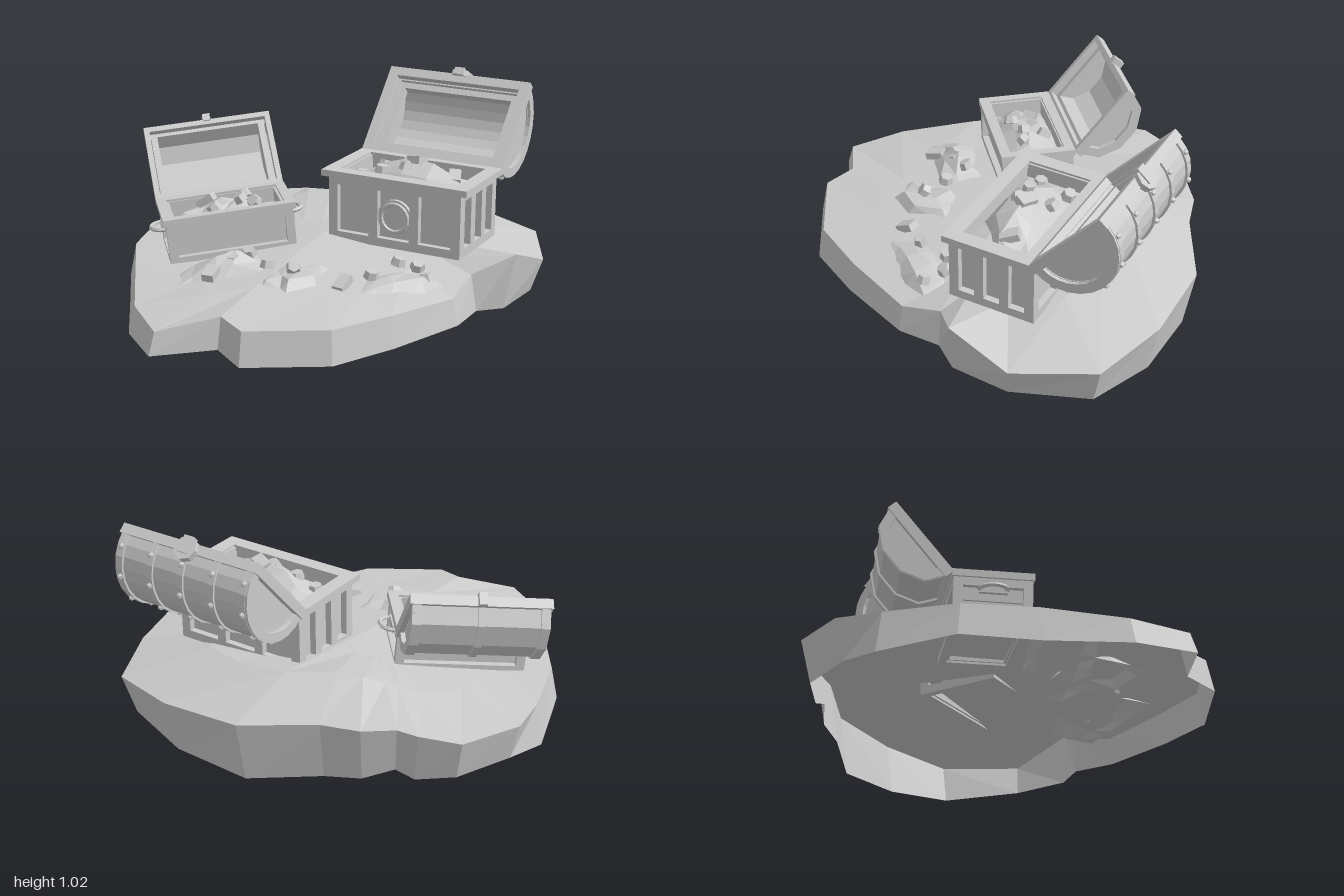
import * as THREE from 'three';

const grey = new THREE.MeshStandardMaterial({ color: 0xcccccc, flatShading: true });
const greyDouble = new THREE.MeshStandardMaterial({ color: 0xcccccc, flatShading: true, side: THREE.DoubleSide });

let seed = 7;
const rand = () => (seed = (seed * 16807) % 2147483647) / 2147483647;

function add(parent, name, geo, x = 0, y = 0, z = 0, mat = grey) {
  const m = new THREE.Mesh(geo, mat);
  m.name = name;
  m.position.set(x, y, z);
  parent.add(m);
  return m;
}
const box = (p, name, w, h, d, x, y, z) => add(p, name, new THREE.BoxGeometry(w, h, d), x, y, z);

function group(parent, name, x = 0, y = 0, z = 0) {
  const g = new THREE.Group();
  g.name = name;
  g.position.set(x, y, z);
  parent.add(g);
  return g;
}

// Rectangular frame lying flat, bottom at y
function frame(p, name, w, d, h, t, y, z = 0) {
  for (const s of [-1, 1]) {
    box(p, name, w, h, t, 0, y + h / 2, z + s * (d - t) / 2);
    box(p, name, t, h, d - 2 * t, s * (w - t) / 2, y + h / 2, z);
  }
}

// Ground rim: x, z, top height, bottom height
const RIM = [
  [0.03, -1, 0.29, 0], [0.42, -1, 0.27, 0.02], [0.76, -0.89, 0.24, 0.05], [0.93, -0.55, 0.23, 0.08],
  [0.91, -0.26, 0.34, 0.08], [0.78, -0.13, 0.26, 0.09], [0.78, 0.07, 0.21, 0.09], [0.64, 0.42, 0.22, 0.08],
  [0.49, 0.69, 0.22, 0.07], [0.16, 0.89, 0.22, 0.07], [0.02, 0.83, 0.24, 0.1], [-0.22, 0.99, 0.18, 0.08],
  [-0.44, 0.82, 0.2, 0.08], [-0.65, 0.51, 0.24, 0.08], [-0.84, 0.23, 0.25, 0.1], [-0.94, -0.1, 0.25, 0.06],
  [-0.94, -0.31, 0.26, 0.08], [-0.82, -0.58, 0.27, 0.08], [-0.66, -0.67, 0.3, 0.06], [-0.57, -0.69, 0.31, 0.09],
  [-0.45, -0.78, 0.31, 0.05], [-0.28, -0.83, 0.31, 0.03],
];
const ground = (x, z) => 0.32 - 0.09 * z - 0.085 * Math.abs(x)
  + 0.06 * Math.exp(-((x + 0.28) ** 2 + (z + 0.62) ** 2) / 0.05);

// Open shell: wall under the rim, then rings rising to the centre
function buildIsland(root) {
  const n = RIM.length, pos = [], idx = [];
  for (const [x, z, , b] of RIM) {
    const f = z < -0.2 ? 0.95 : 1;
    pos.push(x * f, b, z * f);
  }
  for (const [x, z, t] of RIM) {
    const f = z < -0.2 ? 1 : 0.965;
    pos.push(x * f, t, z * f);
  }
  for (const k of [0.64, 0.3]) {
    for (const [x, z] of RIM) {
      const px = x * k, pz = z * k - 0.05 * (1 - k);
      pos.push(px, ground(px, pz), pz);
    }
  }
  for (let r = 0; r < 3; r++) {
    for (let i = 0; i < n; i++) {
      const j = (i + 1) % n, a = r * n + i, b = r * n + j;
      idx.push(a, a + n, b, b, a + n, b + n);
    }
  }
  pos.push(0, ground(0, -0.05), -0.05);
  for (let i = 0; i < n; i++) idx.push(3 * n + i, 4 * n, 3 * n + (i + 1) % n);
  const geo = new THREE.BufferGeometry();
  geo.setAttribute('position', new THREE.Float32BufferAttribute(pos, 3));
  geo.setIndex(idx);
  geo.computeVertexNormals();
  add(root, 'island', geo, 0, 0, 0, greyDouble);
}

// Jagged mound from a jittered grid; edges sink by `sink`
function heap(parent, name, w, d, h, sink, x, y, z, turn = 0) {
  const geo = new THREE.PlaneGeometry(w, d, 6, 4).rotateX(-Math.PI / 2);
  const p = geo.attributes.position;
  for (let i = 0; i < p.count; i++) {
    const u = p.getX(i) / (w / 2), v = p.getZ(i) / (d / 2);
    const r = Math.min(1, Math.hypot(u, v));
    const edge = Math.max(Math.abs(u), Math.abs(v)) > 0.99;
    p.setY(i, edge ? -sink : (h + sink) * (1 - r * r) * (0.65 + 0.5 * rand()) - sink);
    if (!edge) {
      p.setX(i, p.getX(i) + (rand() - 0.5) * w * 0.1);
      p.setZ(i, p.getZ(i) + (rand() - 0.5) * d * 0.14);
    }
  }
  geo.computeVertexNormals();
  add(parent, name, geo, x, y, z, greyDouble).rotation.y = turn;
}

// Scattered coins and bars
function treasure(parent, list) {
  list.forEach(([x, y, z, bar]) => {
    const geo = bar ? new THREE.BoxGeometry(0.085, 0.035, 0.055)
      : new THREE.CylinderGeometry(0.028, 0.036, 0.035, 6);
    const m = add(parent, bar ? 'goldBar' : 'gem', geo, x, y, z);
    m.rotation.set((rand() - 0.5) * 1.2, rand() * 3, (rand() - 0.5) * 1.2);
  });
}

// Half-barrel slice, centred along x, with depth along z and arch along y
function arch(w, rz, ry, t, segs) {
  const s = new THREE.Shape();
  const pts = (a, b) => Array.from({ length: segs + 1 }, (_, i) => {
    const q = (i / segs) * Math.PI;
    return new THREE.Vector2(Math.cos(q) * a, Math.sin(q) * b);
  });
  s.setFromPoints(t ? [...pts(rz, ry), ...pts(rz - t, ry - t).reverse()] : pts(rz, ry));
  return new THREE.ExtrudeGeometry(s, { depth: w, bevelEnabled: false })
    .translate(0, 0, -w / 2).rotateY(-Math.PI / 2);
}

function buildChest(root, name, o) {
  const { w, d, h, post } = o, chest = group(root, name, ...o.at);
  const body = group(chest, 'body');
  box(body, 'floor', w - 0.08, 0.02, d - 0.08, 0, h * 0.25, 0);

  // Four framed walls with recessed panels
  for (let k = 0; k < 4; k++) {
    const side = k % 2, L = side ? d : w, off = (side ? w : d) / 2, n = o.panels[side];
    const f = group(body, 'wall');
    f.rotation.y = k * Math.PI / 2;
    box(f, 'panel', L - 0.06, h - 0.02, 0.015, 0, h / 2, off - 0.0375);
    box(f, 'bottomRail', L - 0.002, 0.04, 0.035, 0, 0.02, off - 0.0175);
    box(f, 'topRail', L - 0.002, 0.04, 0.035, 0, h - 0.045, off - 0.0175);
    for (let i = 0; i <= n; i++) {
      const x = -L / 2 + post / 2 + (i / n) * (L - post);
      box(f, 'post', post, h - 0.01, 0.036, x, h / 2 - 0.005, off - 0.018);
    }
    if (n === 1) box(f, 'plank', L - 0.08, h * 0.25, 0.02, 0, h * 0.57, off - 0.028);
    if (o.handles && side) {
      box(f, 'handlePlate', 0.12, 0.035, 0.02, 0, h * 0.65, off);
      add(f, 'handle', new THREE.TorusGeometry(0.06, 0.01, 5, 8, Math.PI).rotateX(Math.PI / 2), 0, h * 0.65, off);
    }
    if (o.emblem && k === 0) {
      add(f, 'disc', new THREE.CylinderGeometry(0.085, 0.085, 0.02, 20).rotateX(Math.PI / 2), 0, h * 0.43, off - 0.022);
      add(f, 'ring', new THREE.TorusGeometry(0.066, 0.01, 6, 20), 0, h * 0.43, off - 0.012);
    }
  }
  frame(body, 'rim', w + o.lip, d + o.lip * 0.5, 0.03, o.rimT, h - 0.03);

  // Lid, hinged along the back edge
  const W = w + o.lip, D = o.lidD, c = D / 2, y0 = 0.035;
  const lid = group(chest, 'lid', 0, h - 0.01, -d / 2 + o.hinge);
  lid.rotation.x = o.open;
  frame(lid, 'lidLip', W, D, 0.045, o.lipT, 0, c);
  if (o.emblem) frame(lid, 'innerLedge', W - 0.07, D - 0.07, 0.04, 0.05, 0.05, c);
  const rz = c - 0.012, ry = o.lidH;
  add(lid, 'barrel', arch(W - 0.05, rz, ry, o.shell, o.segs), 0, y0, c);
  for (const s of [-1, 1]) {
    add(lid, 'lidEnd', arch(0.03, rz - 0.015, ry - 0.015, 0, o.segs), s * (W / 2 - 0.045), y0, c);
    add(lid, 'endTrim', arch(0.03, rz + 0.008, ry + 0.008, 0.045, o.segs), s * (W / 2 - 0.025), y0, c);
  }
  for (let i = 0; i < o.bands; i++) {
    const x = (i / (o.bands - 1) - 0.5) * (W - 0.07);
    add(lid, 'band', arch(0.03, rz + 0.01, ry + 0.01, 0.025, o.segs), x, y0, c);
    for (let j = 0; j < o.studs; j++) {
      const q = ((j + 0.5) / o.studs) * Math.PI;
      add(lid, 'stud', new THREE.IcosahedronGeometry(0.015, 0), x,
        y0 + Math.sin(q) * (ry + 0.01), c + Math.cos(q) * (rz + 0.01));
    }
  }
  // Latch on the front of the lid
  const s = o.latch;
  if (o.emblem) add(lid, 'latchPlate', new THREE.CylinderGeometry(s, s, 0.03, 8).rotateX(Math.PI / 2), 0, 0.035, D + 0.005);
  box(lid, 'latch', s * 0.9, s * 1.4, 0.035, 0, 0.02, D + 0.01);
  return chest;
}

export function createModel() {
  const root = new THREE.Group();
  root.name = 'treasureIsland';
  buildIsland(root);

  const large = buildChest(root, 'largeChest', {
    at: [0.358, 0.312, -0.338], w: 0.66, d: 0.405, h: 0.33, panels: [3, 3], post: 0.045, lip: 0.065, rimT: 0.068,
    lidD: 0.472, lidH: 0.2, lipT: 0.045, shell: 0.04, hinge: 0.018, segs: 12, bands: 5, studs: 5,
    open: -2.3, latch: 0.055, emblem: true,
  });
  heap(large, 'goldHeap', 0.58, 0.32, 0.37, -0.25, 0, 0, 0);
  treasure(large, [
    [-0.19, 0.3, -0.1], [-0.06, 0.325, -0.08], [0.2, 0.31, -0.02, 1], [-0.13, 0.325, 0.06],
    [-0.01, 0.35, 0.05], [-0.23, 0.29, 0.06], [0.02, 0.37, 0, 1],
  ]);

  const small = buildChest(root, 'smallChest', {
    at: [-0.388, 0.262, 0.068], w: 0.585, d: 0.335, h: 0.225, panels: [1, 1], post: 0.04, lip: 0.025, rimT: 0.045,
    lidD: 0.385, lidH: 0.14, lipT: 0.025, shell: 0.03, hinge: 0, segs: 5, bands: 3, studs: 0,
    open: -2.28, latch: 0.04, handles: true,
  });
  small.rotation.set(0, 0.69, 0.095);
  heap(small, 'goldHeap', 0.52, 0.28, 0.24, -0.14, 0, 0, 0);
  treasure(small, [[0.1, 0.22, -0.07], [-0.08, 0.225, -0.04, 1], [0.07, 0.235, 0.02], [-0.06, 0.22, 0.06], [0.13, 0.215, 0.04]]);

  // Loose gold on the ground
  heap(root, 'groundHeap', 0.58, 0.3, 0.06, 0.06, -0.2, 0.28, 0.34, 0.6);
  heap(root, 'groundHeap', 0.52, 0.32, 0.055, 0.06, 0.12, 0.285, 0.29, 1);
  heap(root, 'groundHeap', 0.56, 0.3, 0.055, 0.06, 0.48, 0.268, 0.13, 1);
  treasure(root, [
    [-0.16, 0.335, 0.27], [-0.04, 0.31, 0.31], [-0.23, 0.285, 0.48, 1], [-0.2, 0.325, 0.35], [0.11, 0.33, 0.34],
    [0.33, 0.28, 0.3, 1], [0.41, 0.3, 0.18], [0.46, 0.315, 0.01], [0.54, 0.3, -0.02], [0.61, 0.275, 0.04],
  ]);
  return root;
}
